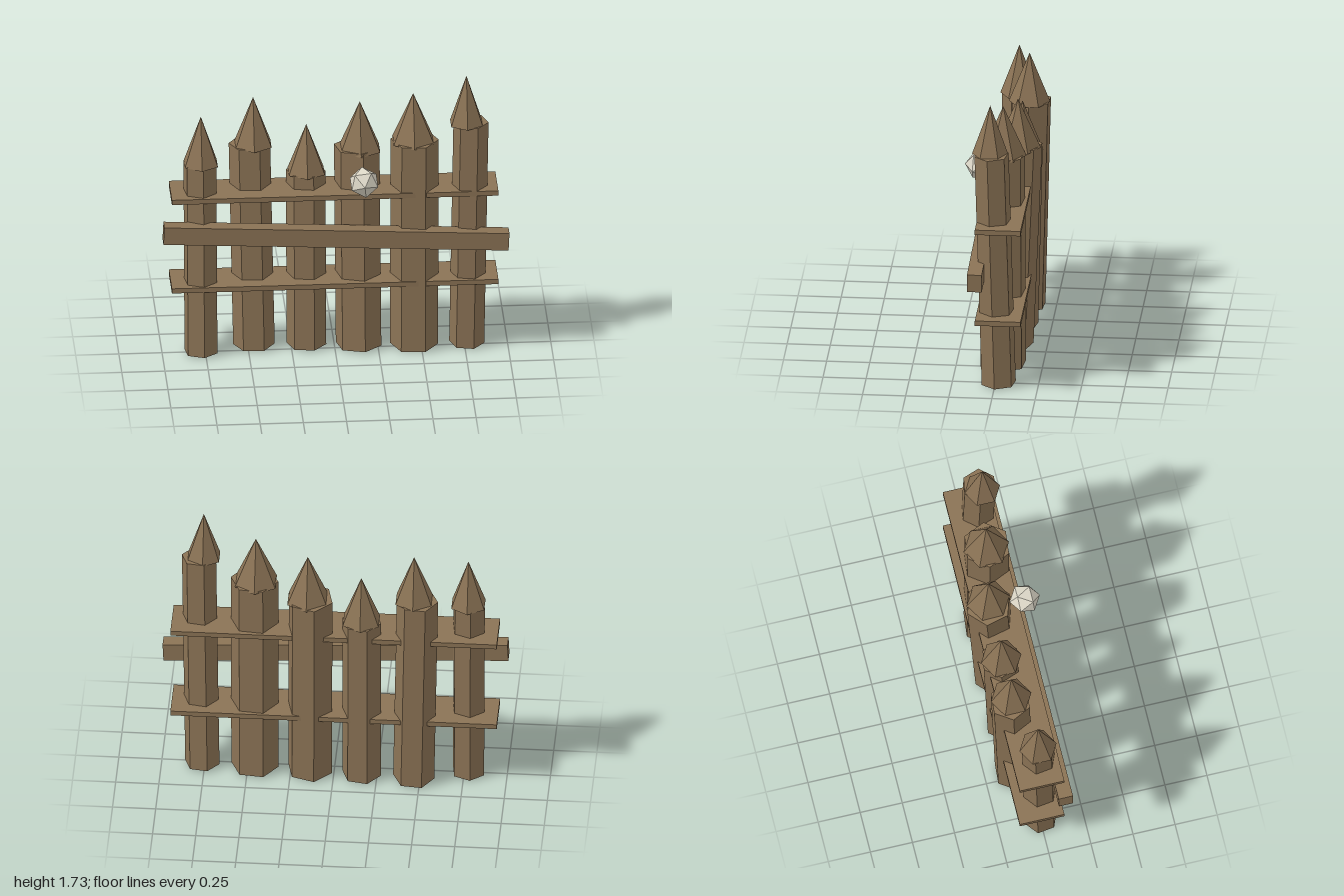
import * as THREE from 'three';

export function createModel() {
  const fence = new THREE.Group();
  fence.name = 'palisadeFence';

  const wood = new THREE.MeshStandardMaterial({ color: 0x8b7355 });
  wood.name = 'wood';
  const bone = new THREE.MeshStandardMaterial({ color: 0xddd8c8 });
  bone.name = 'bone';

  // Flat-shaded mesh helper
  function add(name, geometry, material, x, y, z) {
    const flat = geometry.index ? geometry.toNonIndexed() : geometry;
    flat.computeVertexNormals();
    const mesh = new THREE.Mesh(flat, material);
    mesh.name = name;
    mesh.position.set(x, y, z);
    fence.add(mesh);
    return mesh;
  }

  // Leaning six-sided stakes: foot [x, z], head [x, y, z], radius, turn in degrees,
  // and upright tip [x, base y, z, radius]
  const stakes = [
    { foot: [-0.775, 0.005], head: [-0.78, 1.205, -0.01], r: 0.1, turn: 8, tip: [-0.775, 1.2, -0.01, 0.11] },
    { foot: [-0.463, -0.075], head: [-0.487, 1.28, -0.105], r: 0.12, turn: 26, tip: [-0.467, 1.275, -0.095, 0.12] },
    { foot: [-0.16, -0.06], head: [-0.163, 1.105, -0.085], r: 0.115, turn: 20, tip: [-0.16, 1.1, -0.08, 0.12] },
    { foot: [0.14, -0.035], head: [0.133, 1.25, -0.085], r: 0.135, turn: 13, tip: [0.15, 1.235, -0.08, 0.132] },
    { foot: [0.46, -0.02], head: [0.463, 1.315, -0.015], r: 0.139, turn: 24, tip: [0.455, 1.305, -0.02, 0.135] },
    { foot: [0.765, -0.02], head: [0.787, 1.435, 0.02], r: 0.102, turn: 20, tip: [0.76, 1.43, 0.03, 0.105] },
  ];
  const up = new THREE.Vector3(0, 1, 0);
  stakes.forEach((s, i) => {
    const foot = new THREE.Vector3(s.foot[0], 0.01, s.foot[1]);
    const head = new THREE.Vector3(...s.head);
    const axis = head.clone().sub(foot);
    const mid = foot.clone().add(head).multiplyScalar(0.5);
    const post = add('stake' + (i + 1), new THREE.CylinderGeometry(s.r, s.r, axis.length(), 6), wood, mid.x, mid.y, mid.z);
    const turn = new THREE.Quaternion().setFromAxisAngle(up, THREE.MathUtils.degToRad(s.turn));
    post.quaternion.setFromUnitVectors(up, axis.normalize()).multiply(turn);

    const [x, y, z, r] = s.tip;
    add('stakeTip' + (i + 1), new THREE.ConeGeometry(r, 0.3, 6), wood, x, y + 0.15, z);
  });

  // Two flat level rails
  add('lowerRail', new THREE.BoxGeometry(1.89, 0.03, 0.265), wood, -0.005, 0.445, -0.028);
  add('upperRail', new THREE.BoxGeometry(1.89, 0.03, 0.265), wood, -0.005, 1.01, -0.028);

  // Sloping brace across the front
  const brace = add('brace', new THREE.BoxGeometry(2, 0.108, 0.085), wood, 0, 0.765, 0.102);
  brace.rotation.z = -0.05;

  // Faceted ornament on the fourth stake
  const ornament = add('ornament', new THREE.IcosahedronGeometry(0.09, 0), bone, 0.16, 1.12, 0.137);
  ornament.rotation.set(0.5, 0.06, 0.1);

  return fence;
}
